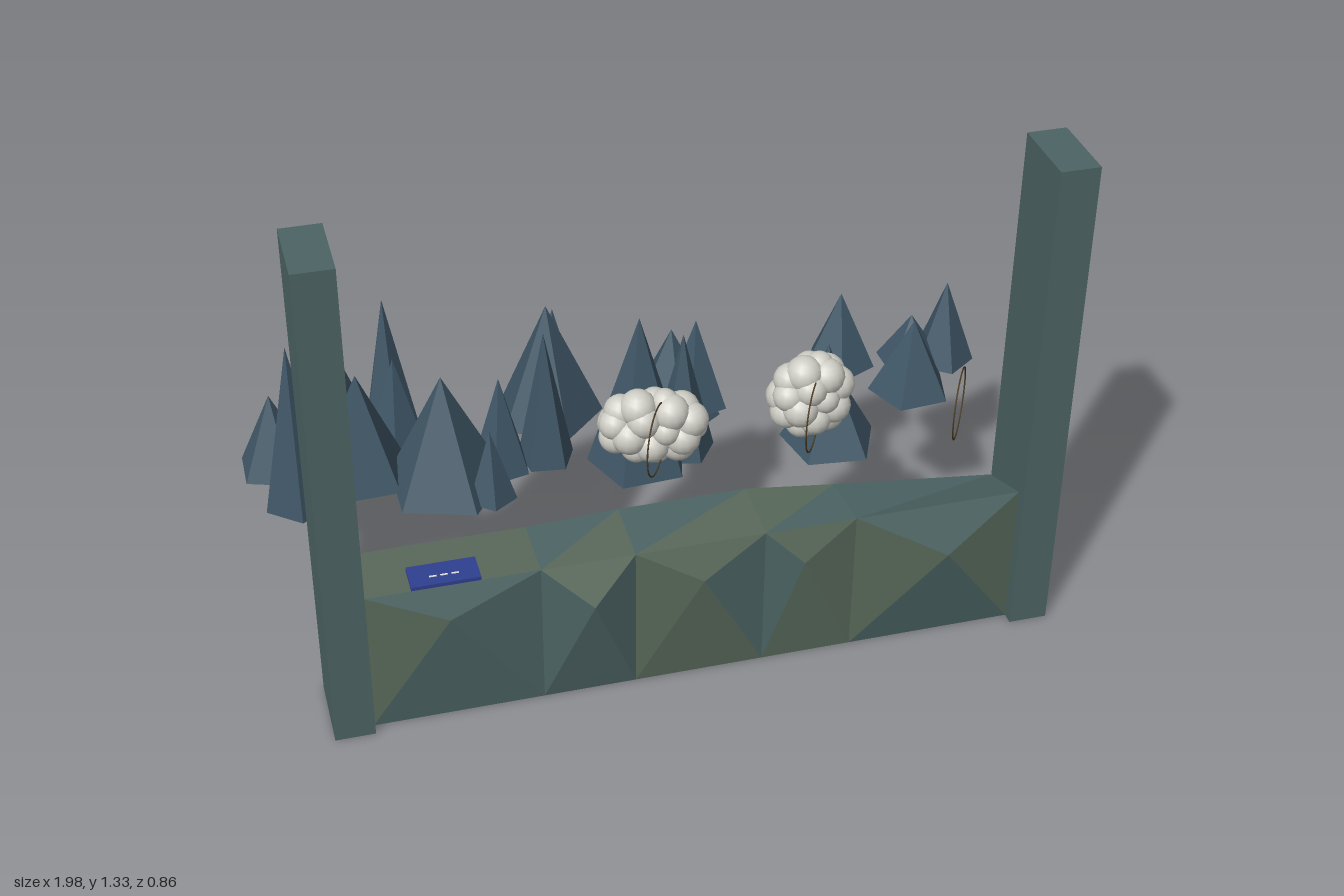
import * as THREE from 'three';

const mat = (color, double = false) => new THREE.MeshStandardMaterial({
  color, flatShading: true, side: double ? THREE.DoubleSide : THREE.FrontSide,
});
const TEAL = mat(0x4d6464, true);
const GREEN = mat(0x58695a, true);
const POST = mat(0x4d6363);
const TREE = mat(0x3f5666);
const CLOUD = new THREE.MeshStandardMaterial({ color: 0xcfcec6 });
const RING = mat(0x4a3a22);
const BLUE = mat(0x2f3f8f);
const WHITE = mat(0xe8e8f0);

function add(parent, name, geometry, material, x = 0, y = 0, z = 0) {
  const mesh = new THREE.Mesh(geometry, material);
  mesh.name = name;
  mesh.position.set(x, y, z);
  parent.add(mesh);
  return mesh;
}

function group(parent, name) {
  const g = new THREE.Group();
  g.name = name;
  parent.add(g);
  return g;
}

// Loose triangles, flat shaded
function facets(points) {
  const g = new THREE.BufferGeometry();
  g.setAttribute('position', new THREE.Float32BufferAttribute(points.flat(), 3));
  g.computeVertexNormals();
  return g;
}

// Faceted rock wall: open shell with pyramidal front panels and a flat-ish top
function buildWall(root) {
  const wall = group(root, 'rockWall');
  const xs = [-0.78, -0.35, -0.115, 0.215, 0.45, 0.88];
  const backY = [0.4, 0.4, 0.41, 0.41, 0.38, 0.33];
  const apexes = [
    [-0.58, 0.32, 0.41], [-0.23, 0.3, 0.43], [0.05, 0.31, 0.41], [0.31, 0.31, 0.405], [0.68, 0.28, 0.43],
  ];
  // facet colours per panel: bottom, right, top, left, then the two top triangles
  const tints = ['tttggg', 'ttgtgt', 'gtgggt', 'gggttg', 'tgtgtt'];
  const fz = 0.375, bz = 0.2;
  const lists = { t: [], g: [] };
  apexes.forEach((apex, i) => {
    const a = xs[i], b = xs[i + 1];
    const c = [[a, 0, fz], [b, 0, fz], [b, 0.4, fz], [a, 0.4, fz]];
    const backA = [a, backY[i], bz], backB = [b, backY[i + 1], bz];
    const tris = c.map((p, k) => [p, c[(k + 1) % 4], apex]);
    tris.push([c[3], c[2], backB], [c[3], backB, backA]);
    tris.forEach((t, k) => lists[tints[i][k]].push(...t));
  });
  add(wall, 'tealRockFacets', facets(lists.t), TEAL);
  add(wall, 'greenRockFacets', facets(lists.g), GREEN);
}

// Five-sided trees: x, z, radius, base height, tip height, turn
function buildTrees(root) {
  const trees = group(root, 'trees');
  [
    [-0.91, -0.25, 0.1, 0.37, 0.59], [-0.87, -0.075, 0.09, 0.375, 0.84], [-0.78, -0.25, 0.12, 0.375, 0.86],
    [-0.74, -0.32, 0.11, 0.38, 0.68], [-0.6, -0.31, 0.08, 0.38, 0.79], [-0.59, -0.26, 0.08, 0.38, 0.64],
    [-0.7, -0.15, 0.13, 0.375, 0.68], [-0.5, -0.06, 0.16, 0.375, 0.7], [-0.4, 0.03, 0.065, 0.38, 0.58],
    [-0.35, -0.09, 0.08, 0.38, 0.65], [-0.23, -0.1, 0.075, 0.38, 0.76], [-0.18, -0.3, 0.145, 0.38, 0.71],
    [-0.15, -0.36, 0.08, 0.38, 0.66], [0, -0.03, 0.135, 0.38, 0.81], [0.12, -0.05, 0.085, 0.38, 0.73],
    [0.13, -0.2, 0.13, 0.39, 0.65], [0.19, -0.18, 0.09, 0.43, 0.68], [0.5, 0.01, 0.13, 0.38, 0.61],
    [0.55, -0.16, 0.065, 0.38, 0.56], [0.64, -0.33, 0.1, 0.38, 0.6], [0.74, -0.05, 0.11, 0.46, 0.67],
    [0.81, -0.24, 0.09, 0.42, 0.56], [0.91, -0.25, 0.085, 0.4, 0.64],
  ].forEach(([x, z, r, y0, y1], i) => {
    const h = y1 - y0;
    const tree = add(trees, 'tree', new THREE.ConeGeometry(r, h, 5), TREE, x, y0 + h / 2, z);
    tree.rotation.y = i * 0.9 + 0.3;
  });
}

// Puffy cloud: spheres spread evenly over an ellipsoid
function buildCloud(root, center, size, turn) {
  const cloud = group(root, 'cloud');
  cloud.position.set(...center);
  cloud.rotation.y = turn;
  const ball = new THREE.SphereGeometry(0.042, 14, 10);
  const n = 24;
  for (let i = 0; i < n; i++) {
    const v = 1 - (2 * i + 1) / n, r = Math.sqrt(1 - v * v), a = i * 2.4;
    const puff = add(cloud, 'cloudPuff', ball, CLOUD,
      size[0] * r * Math.cos(a), size[1] * v, size[2] * r * Math.sin(a));
    puff.scale.setScalar(0.85 + 0.25 * Math.abs(Math.sin(i * 1.7)));
  }
}

export function createModel() {
  const root = new THREE.Group();
  root.name = 'landscapeStage';

  // End posts
  const postGeo = new THREE.BoxGeometry(0.1, 1.33, 0.2);
  for (const x of [-0.83, 0.93]) add(root, 'endPost', postGeo, POST, x, 0.665, 0.305);

  buildWall(root);
  buildTrees(root);

  buildCloud(root, [-0.045, 0.7, 0.268], [0.1, 0.065, 0.03], -0.2);
  buildCloud(root, [0.352, 0.72, 0.265], [0.07, 0.08, 0.038], 0.1);

  // Thin upright hoops
  const ringGeo = new THREE.TorusGeometry(0.09, 0.002, 6, 40);
  for (const x of [-0.05, 0.34, 0.715]) {
    add(root, 'hoop', ringGeo, RING, x, x > 0.5 ? 0.67 : 0.7, 0.33).rotation.y = Math.PI / 3;
  }

  // Blue plaque with three small dashes
  add(root, 'plaque', new THREE.BoxGeometry(0.17, 0.014, 0.08), BLUE, -0.58, 0.403, 0.335);
  const dashGeo = new THREE.BoxGeometry(0.018, 0.002, 0.004);
  for (const i of [-1, 0, 1]) add(root, 'plaqueDash', dashGeo, WHITE, -0.58 + i * 0.027, 0.411, 0.345);

  return root;
}
